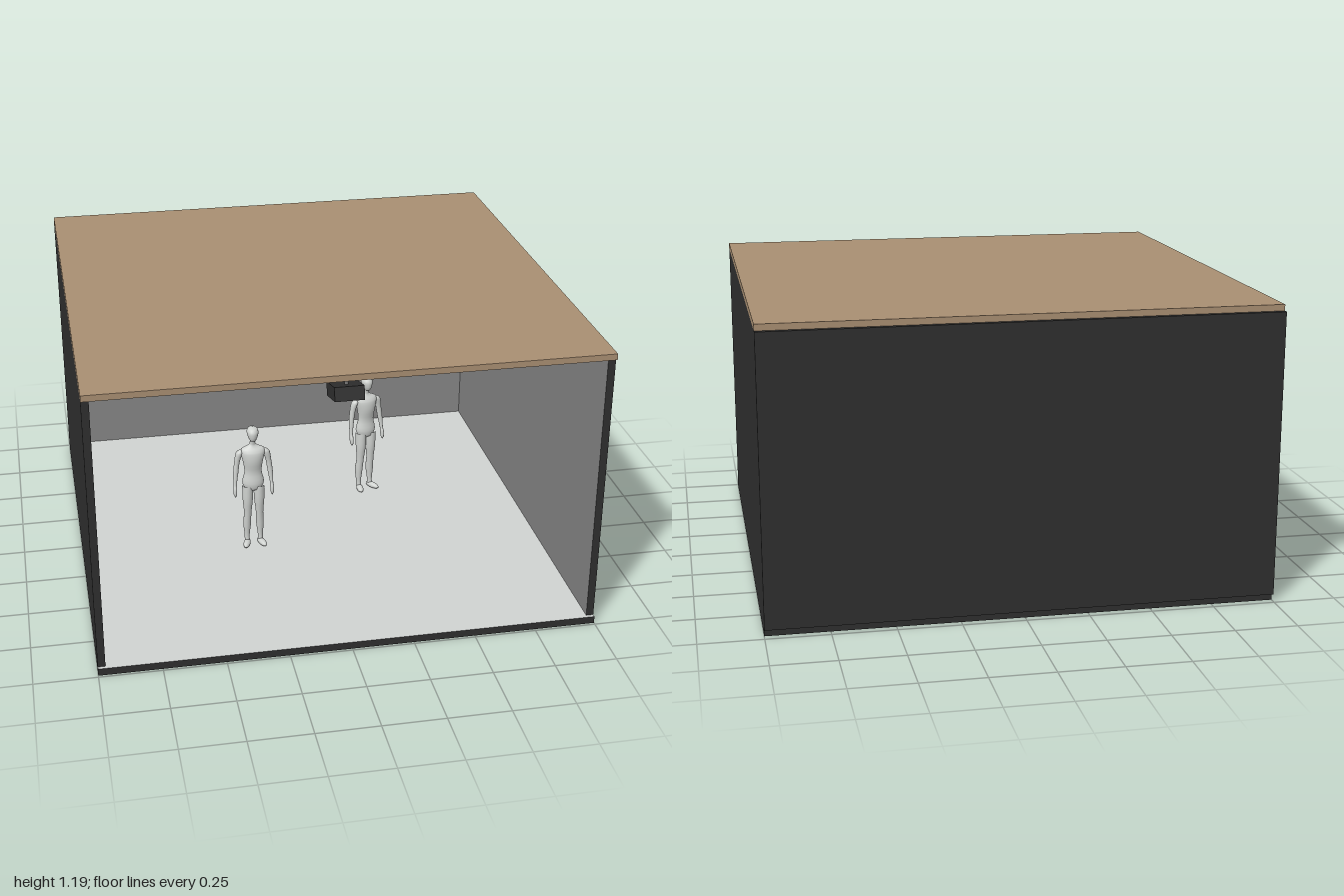
import * as THREE from 'three';

const mat = (name, color, side = THREE.FrontSide) => {
  const m = new THREE.MeshStandardMaterial({ color, side });
  m.name = name;
  return m;
};

export function createModel() {
  const dark = mat('charcoal', 0x2f2f2f);
  const grey = mat('inner wall grey', 0x868686);
  const white = mat('floor white', 0xd0d3d1);
  const tan = mat('roof tan', 0xa98f72);
  const skin = mat('mannequin white', 0xcfd2cf);
  const metal = mat('bracket grey', 0x777777);

  const model = new THREE.Group();
  model.name = 'stageRoom';

  const add = (parent, name, geometry, material, x = 0, y = 0, z = 0) => {
    const mesh = new THREE.Mesh(geometry, material);
    mesh.name = name;
    mesh.position.set(x, y, z);
    parent.add(mesh);
    return mesh;
  };
  const box = (w, h, d) => new THREE.BoxGeometry(w, h, d);
  // One material for all box faces except the one at index i (+x -x +y -y +z -z)
  const faced = (base, i, other) => Array.from({ length: 6 }, (_, k) => (k === i ? other : base));

  // Room shell
  add(model, 'floor', box(2, 0.03, 1.96), faced(dark, 2, white), 0, 0.015, 0.01);
  add(model, 'roof', box(2, 0.025, 1.96), tan, 0, 1.1775, 0.01);
  add(model, 'rightWall', box(0.03, 1.135, 1.965), faced(dark, 0, grey), -0.985, 0.5975, -0.0075);
  add(model, 'leftWall', box(0.03, 1.135, 1.965), faced(dark, 1, grey), 0.985, 0.5975, -0.0075);
  add(model, 'backWall', box(1.94, 1.135, 0.03), faced(dark, 4, grey), 0, 0.5975, -0.975);

  // Ceiling lamps, aimed along local +z and tilted down
  const addLamp = (name, x, z, turn) => {
    const lamp = new THREE.Group();
    lamp.name = name;
    lamp.position.set(x, 1.165, z);
    lamp.rotation.y = turn;
    add(lamp, 'ceilingPlate', box(0.1, 0.006, 0.1), metal, 0, -0.003, 0);
    add(lamp, 'pole', new THREE.CylinderGeometry(0.008, 0.008, 0.09, 12), metal, 0, -0.045, 0);
    const head = new THREE.Group();
    head.name = 'lampHead';
    head.position.set(0, -0.118, 0.012);
    head.rotation.x = 0.27;
    add(head, 'housing', box(0.115, 0.055, 0.155), dark);
    add(head, 'lens', new THREE.CylinderGeometry(0.02, 0.02, 0.012, 20).rotateX(Math.PI / 2), metal, 0, 0, 0.083);
    lamp.add(head);
    model.add(lamp);
  };
  addLamp('rightLamp', -0.778, 0, Math.PI / 2);
  addLamp('leftLamp', 0.778, 0, -Math.PI / 2);
  addLamp('frontLamp', -0.003, 0.83, Math.PI);

  // Smooth body from elliptical sections [x, y, z, halfWidth, halfDepth], listed from bottom to top
  const loft = (sections, n = 16) => {
    const curve = new THREE.CatmullRomCurve3(sections.map((s) => new THREE.Vector3(s[0], s[1], s[2])));
    const radii = new THREE.CatmullRomCurve3(sections.map((s) => new THREE.Vector3(s[3], s[4], 0)));
    const rows = (sections.length - 1) * 3;
    const pos = [], index = [];
    for (let i = 0; i <= rows; i++) {
      const c = curve.getPoint(i / rows), r = radii.getPoint(i / rows);
      for (let j = 0; j < n; j++) {
        const a = (j / n) * Math.PI * 2;
        pos.push(c.x + Math.max(r.x, 0.0005) * Math.sin(a), c.y, c.z + Math.max(r.y, 0.0005) * Math.cos(a));
        if (i < rows) {
          const p = i * n + j, q = i * n + ((j + 1) % n);
          index.push(p, q, q + n, p, q + n, p + n);
        }
      }
    }
    const g = new THREE.BufferGeometry();
    g.setAttribute('position', new THREE.Float32BufferAttribute(pos, 3));
    g.setIndex(index);
    g.computeVertexNormals();
    return g;
  };

  // Body parts, with the soles at y = 0
  const torso = loft([
    [0, 0.262, 0, 0.006, 0.008], [0, 0.275, 0, 0.036, 0.026], [0, 0.305, -0.002, 0.047, 0.033],
    [0, 0.355, 0, 0.037, 0.025], [0, 0.405, 0.002, 0.043, 0.031], [0, 0.445, 0, 0.052, 0.031],
    [0, 0.462, -0.002, 0.05, 0.024], [0, 0.474, -0.003, 0.026, 0.016], [0, 0.485, -0.002, 0.012, 0.012],
    [0, 0.515, 0.003, 0.011, 0.012],
  ], 24);
  const head = loft([
    [0, 0.5, 0.016, 0.001, 0.001], [0, 0.505, 0.014, 0.011, 0.012], [0, 0.522, 0.008, 0.02, 0.026],
    [0, 0.543, 0.004, 0.025, 0.031], [0, 0.558, 0.001, 0.02, 0.025], [0, 0.566, 0, 0.001, 0.001],
  ], 20);
  const leg = (s) => loft([
    [s * 0.029, 0.012, -0.006, 0.011, 0.014], [s * 0.029, 0.04, -0.007, 0.011, 0.013],
    [s * 0.028, 0.1, -0.008, 0.017, 0.02], [s * 0.026, 0.15, 0, 0.016, 0.018],
    [s * 0.025, 0.22, 0.002, 0.022, 0.026], [s * 0.024, 0.29, 0, 0.024, 0.029],
  ]);
  const arm = (s) => loft([
    [s * 0.079, 0.242, 0.016, 0.002, 0.003], [s * 0.08, 0.255, 0.016, 0.007, 0.011],
    [s * 0.08, 0.278, 0.012, 0.008, 0.013], [s * 0.079, 0.297, 0.008, 0.007, 0.008],
    [s * 0.075, 0.345, 0, 0.011, 0.011], [s * 0.068, 0.4, -0.004, 0.012, 0.014],
    [s * 0.058, 0.444, -0.002, 0.015, 0.017], [s * 0.05, 0.461, -0.002, 0.004, 0.005],
  ], 12);
  const foot = new THREE.SphereGeometry(1, 16, 10).scale(0.015, 0.013, 0.038);

  const addMannequin = (name, x, z, turn) => {
    const figure = new THREE.Group();
    figure.name = name;
    figure.position.set(x, 0.034, z);
    figure.rotation.y = turn;
    add(figure, 'torso', torso, skin);
    add(figure, 'head', head, skin);
    for (const [s, side] of [[1, 'left'], [-1, 'right']]) {
      add(figure, side + 'Leg', leg(s), skin);
      add(figure, side + 'Arm', arm(s), skin);
      add(figure, side + 'Foot', foot, skin, s * 0.033, 0.01, 0.014).rotation.y = s * 0.3;
    }
    model.add(figure);
  };
  addMannequin('rightMannequin', -0.262, 0.16, 0);
  addMannequin('leftMannequin', 0.322, -0.25, 0.3);

  return model;
}
